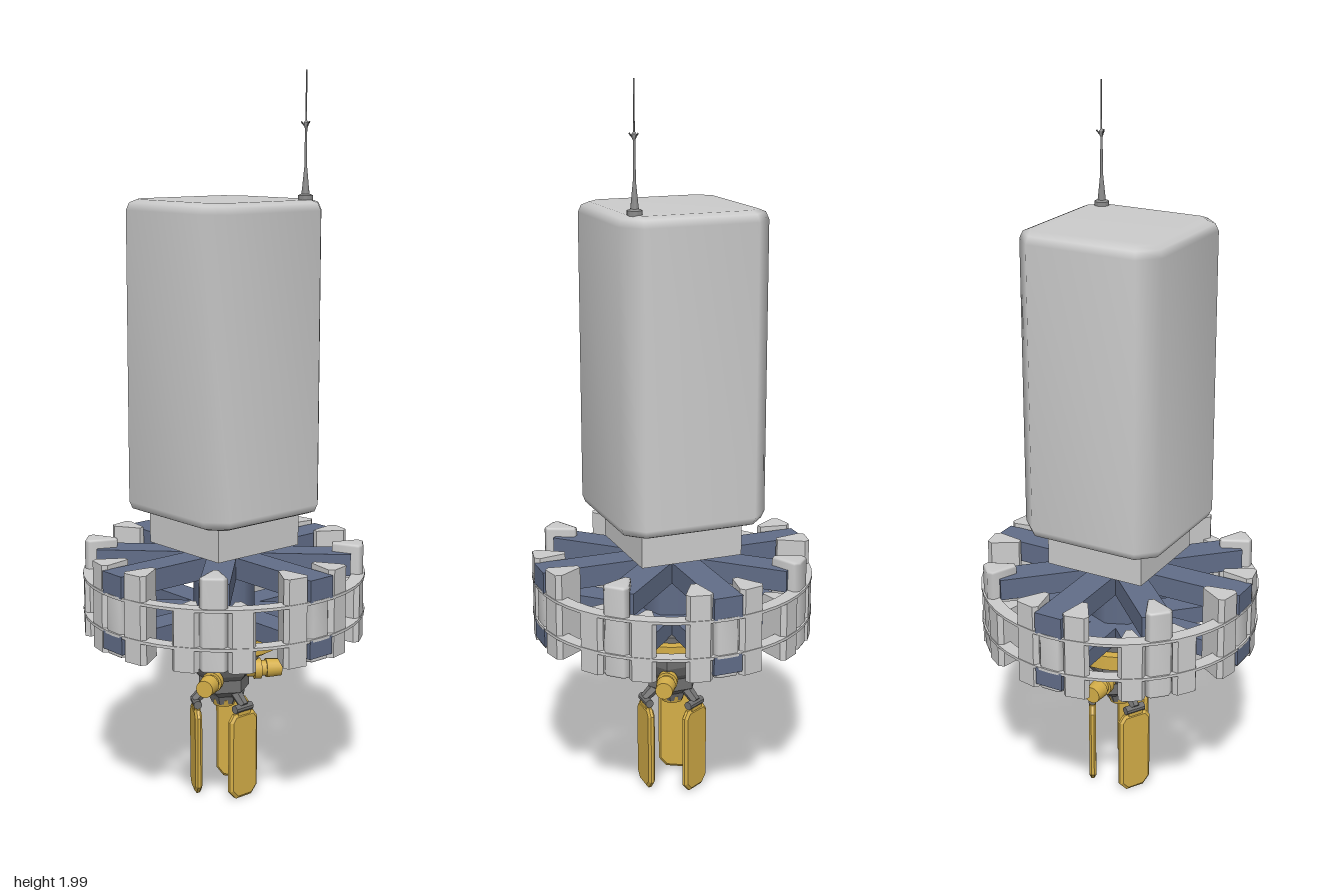
import * as THREE from 'three';
import { mergeVertices } from 'three/addons/utils/BufferGeometryUtils.js';

const mat = (color, extra = {}) => new THREE.MeshStandardMaterial({ color, ...extra });
const grey = mat(0xcccccc);
const blue = mat(0x616d88);
const dark = mat(0x707070, { flatShading: true });
const gold = mat(0xd4ae48);
const V = (x, y, z) => new THREE.Vector3(x, y, z);

export function createModel() {
  const model = new THREE.Group();

  const add = (name, geo, material, x = 0, y = 0, z = 0, parent = model) => {
    const mesh = new THREE.Mesh(geo, material);
    mesh.name = name;
    mesh.position.set(x, y, z);
    parent.add(mesh);
    return mesh;
  };

  // Group turned about the vertical axis, so that its +x is the radial direction
  const radial = (name, angle) => {
    const g = new THREE.Group();
    g.name = name;
    g.rotation.y = angle;
    model.add(g);
    return g;
  };

  // Upright prism from a plan outline, with an optional bevel inside the outline height
  const prism = (points, y0, y1, bevel = 0, steps = 1) => {
    const shape = new THREE.Shape(points.map(([x, y]) => new THREE.Vector2(x, y)));
    const geo = new THREE.ExtrudeGeometry(shape, {
      depth: y1 - y0 - 2 * bevel, bevelEnabled: bevel > 0,
      bevelThickness: bevel, bevelSize: bevel, bevelOffset: -bevel, bevelSegments: steps,
    });
    return geo.rotateX(-Math.PI / 2).translate(0, y0 + bevel, 0);
  };

  const smooth = (geo) => {
    geo.deleteAttribute('normal');
    geo.deleteAttribute('uv');
    const merged = mergeVertices(geo, 1e-4);
    merged.computeVertexNormals();
    return merged;
  };

  // Cylinder between two points
  const rod = (name, a, b, ra, rb, sides, material, parent = model) => {
    const d = b.clone().sub(a);
    const mesh = add(name, new THREE.CylinderGeometry(rb, ra, d.length(), sides), material, 0, 0, 0, parent);
    mesh.position.copy(a).add(b).multiplyScalar(0.5);
    mesh.quaternion.setFromUnitVectors(V(0, 1, 0), d.normalize());
    return mesh;
  };

  // Tall main body with cut corners and soft edges, on a square neck
  const h = 0.207, c = 0.157;
  const plan = [[h, -c], [h, c], [c, h], [-c, h], [-h, c], [-h, -c], [-c, -h], [c, -h]];
  add('body', smooth(prism(plan, 0.82, 1.667, 0.028, 2)), grey);
  add('neck', new THREE.BoxGeometry(0.29, 0.1, 0.29), grey, 0, 0.775, 0);

  // Antenna on the front left corner of the roof
  const ax = 0.145, az = 0.16;
  const mast = [[0, 1.66], [0.02, 1.66], [0.02, 1.678], [0.011, 1.682], [0.009, 1.70],
    [0.004, 1.75], [0.003, 1.85], [0.006, 1.857], [0.006, 1.866], [0.002, 1.872], [0.002, 2], [0, 2]];
  add('antenna', new THREE.LatheGeometry(mast.map(([r, y]) => new THREE.Vector2(r, y)), 12),
    mat(0x8a8a8a, { flatShading: true }), ax, 0, az);
  for (let i = 0; i < 3; i++) {
    const a = Math.PI / 2 + i * Math.PI * 2 / 3;
    rod('antennaProng', V(ax, 1.852, az), V(ax + 0.013 * Math.cos(a), 1.868, az + 0.013 * Math.sin(a)),
      0.002, 0.002, 6, dark);
  }

  // Central column and two tiers of spokes
  add('column', new THREE.CylinderGeometry(0.085, 0.085, 0.25, 8), blue, 0, 0.61, 0);
  for (let i = 0; i < 8; i++) {
    const spoke = radial('spoke', i * Math.PI / 4);
    const length = i % 2 ? 0.35 : 0.388;
    add('upperSpoke', new THREE.BoxGeometry(length, 0.06, 0.08), blue, length / 2, 0.68, 0, spoke);
    add('lowerSpoke', new THREE.BoxGeometry(length, 0.05, 0.08), blue, length / 2, 0.522, 0, spoke);
  }

  // Two thin flat rings
  const ringShape = new THREE.Shape().absarc(0, 0, 0.39, 0, Math.PI * 2);
  ringShape.holes.push(new THREE.Path().absarc(0, 0, 0.352, 0, Math.PI * 2, true));
  const ringGeo = new THREE.ExtrudeGeometry(ringShape, { depth: 0.008, bevelEnabled: false, curveSegments: 24 });
  ringGeo.rotateX(-Math.PI / 2);
  for (const y of [0.542, 0.645]) add('ring', ringGeo, grey, 0, y, 0);

  // Wedge blocks around the rings, pointing inward
  const wedge = [[0.3, -0.008], [0.373, -0.036], [0.387, -0.027], [0.387, 0.027], [0.373, 0.036], [0.3, 0.008]];
  const tallWedge = prism(wedge, 0.482, 0.722);
  const shortWedge = prism(wedge, 0.482, 0.648);
  for (let i = 0; i < 16; i++) {
    const tall = i % 4 === 0 || i % 4 === 3;
    add('wedgeBlock', tall ? tallWedge : shortWedge, grey).rotation.y = (i + 0.5) * Math.PI / 8;
  }

  // Rounded pods at the spoke ends, taller on the diagonals
  const pod = [[0.298, -0.009], [0.37, -0.037], [0.384, -0.026], [0.384, 0.026], [0.37, 0.037], [0.298, 0.009]];
  const tallPod = smooth(prism(pod, 0.482, 0.735, 0.007, 2));
  const shortPod = smooth(prism(pod, 0.484, 0.652, 0.007, 2));
  for (let i = 0; i < 8; i++) add('pod', i % 2 ? tallPod : shortPod, grey).rotation.y = i * Math.PI / 4;

  // Gold collar below the spokes
  add('collarPlate', new THREE.CylinderGeometry(0.13, 0.13, 0.02, 32), dark, 0, 0.49, 0);
  add('collar', new THREE.CylinderGeometry(0.157, 0.157, 0.042, 40), gold, 0, 0.463, 0);
  add('collarLip', new THREE.CylinderGeometry(0.15, 0.138, 0.012, 40), gold, 0, 0.437, 0);

  // Faceted lower hub
  const hub = [[0, 0.265], [0.035, 0.265], [0.045, 0.29], [0.072, 0.31], [0.072, 0.345], [0.085, 0.36],
    [0.1, 0.39], [0.1, 0.436], [0, 0.436]];
  add('hub', new THREE.LatheGeometry(hub.map(([r, y]) => new THREE.Vector2(r, y)), 6), dark);

  // Three nozzles around the hub, and three hanging blades between them
  const bladeOutline = [[-0.05, 0.03], [-0.028, 0.006], [0.028, 0.006], [0.05, 0.03], [0.05, 0.235],
    [0.035, 0.255], [-0.035, 0.255], [-0.05, 0.235]];
  const bladeShape = new THREE.Shape(bladeOutline.map(([x, y]) => new THREE.Vector2(x, y)));
  const bladeGeo = new THREE.ExtrudeGeometry(bladeShape, {
    depth: 0.008, bevelThickness: 0.006, bevelSize: 0.008, bevelOffset: -0.008, bevelSegments: 1,
  });
  bladeGeo.rotateY(Math.PI / 2).translate(0.076, 0, 0);
  for (let i = 0; i < 3; i++) {
    const turn = i * Math.PI * 2 / 3;
    const nozzle = radial('nozzle', Math.PI / 2 + turn);
    nozzle.rotation.y = turn + Math.PI / 2;
    rod('nozzleBarrel', V(0.05, 0.355, 0), V(0.125, 0.355, 0), 0.022, 0.022, 16, gold, nozzle);
    rod('nozzleTip', V(0.12, 0.355, 0), V(0.163, 0.355, 0), 0.027, 0.024, 16, gold, nozzle);
    rod('nozzleCollar', V(0.085, 0.355, 0), V(0.105, 0.355, 0), 0.029, 0.029, 16, gold, nozzle);

    const arm = radial('bladeArm', turn - Math.PI / 2);
    add('blade', bladeGeo, gold, 0, 0, 0, arm);
    rod('bladeLink', V(0.04, 0.315, 0), V(0.085, 0.275, 0), 0.018, 0.014, 6, dark, arm);
    rod('bladeHinge', V(0.08, 0.268, -0.03), V(0.08, 0.268, 0.03), 0.012, 0.012, 10, dark, arm);
    add('bladeRoot', new THREE.BoxGeometry(0.016, 0.03, 0.045), gold, 0.08, 0.255, 0, arm);
  }
  add('hubTip', new THREE.CylinderGeometry(0.036, 0.03, 0.02, 12), gold, 0, 0.268, 0);

  return model;
}
